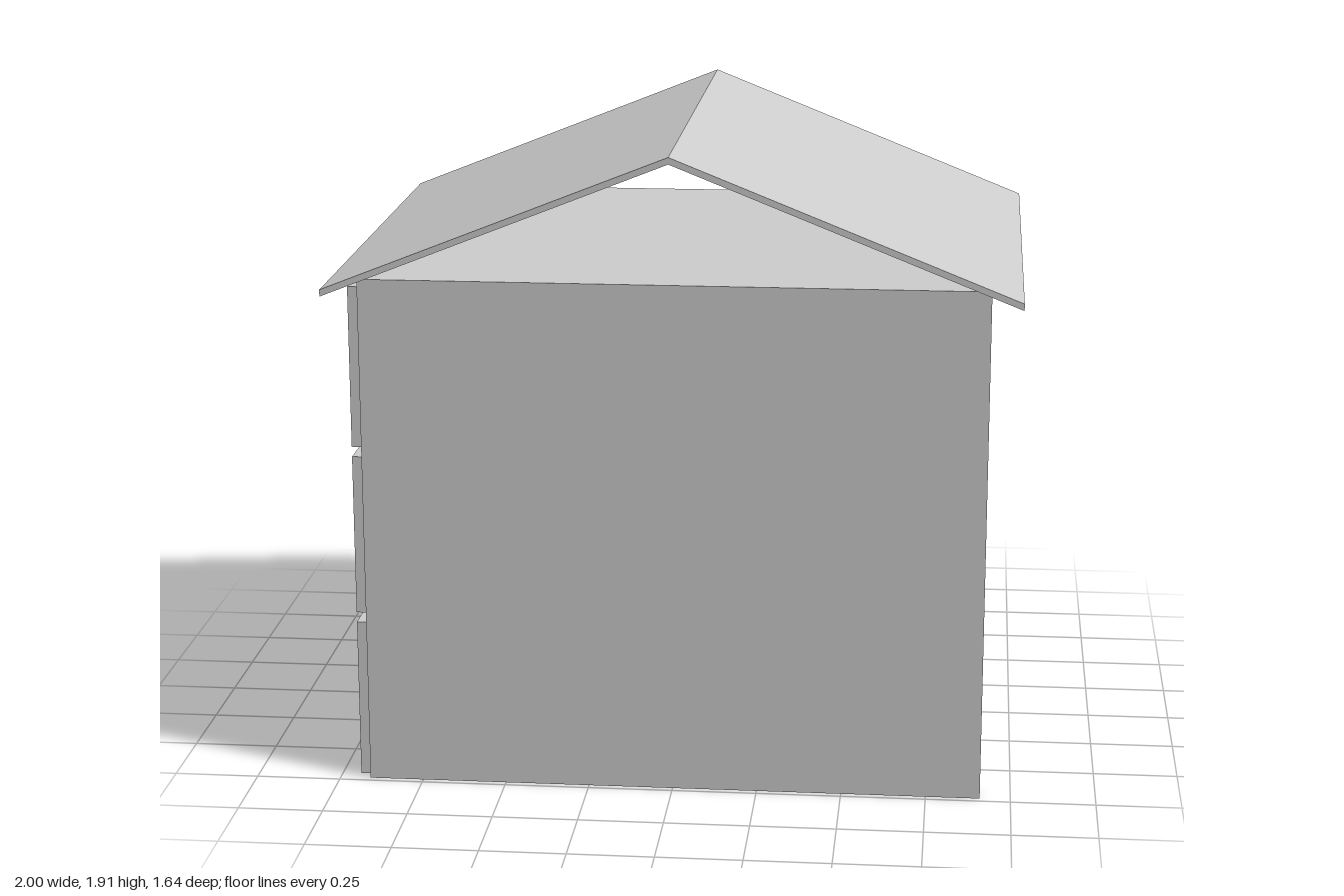
import * as THREE from 'three';

export function createModel() {
  const house = new THREE.Group();
  house.name = 'openHouse';
  const grey = new THREE.MeshStandardMaterial({ color: 0xcccccc });
  grey.name = 'light grey';

  const T = 0.035;        // wall thickness
  const SLAB = 0.03;      // floor thickness
  const STOREY = 0.51;    // storey height, floor included
  const HALF_W = 0.91;    // half width of the main walls
  const IN_Z = 0.695;     // half depth between the main walls
  const WALL_H = 3 * STOREY;

  function box(name, w, h, d, x, y, z) {
    const mesh = new THREE.Mesh(new THREE.BoxGeometry(w, h, d), grey);
    mesh.name = name;
    mesh.position.set(x, y, z);
    house.add(mesh);
  }

  // full-height front and back walls
  box('frontWall', 2 * HALF_W, WALL_H, T, 0, WALL_H / 2, IN_Z + T / 2);
  box('backWall', 2 * HALF_W, WALL_H, T, 0, WALL_H / 2, -IN_Z - T / 2);

  // each storey: two side panels with a floor slab above them
  const panelH = STOREY - SLAB;
  for (let i = 0; i < 3; i++) {
    const y = i * STOREY;
    // recessed on one side, standing proud on the other
    box('leftPanel' + (i + 1), T, panelH, 2 * IN_Z, HALF_W - 1.5 * T, y + panelH / 2, 0);
    box('rightPanel' + (i + 1), T, panelH, 2 * IN_Z, -HALF_W - T / 2, y + panelH / 2, 0);
    box('floorSlab' + (i + 1), 2 * HALF_W, SLAB, 2 * IN_Z, 0, y + panelH + SLAB / 2, 0);
  }

  // thin gabled roof, open at both ends
  const profile = new THREE.Shape([
    [-1, 1.497], [0, 1.895], [1, 1.497], [1, 1.517], [0, 1.915], [-1, 1.517],
  ].map(([x, y]) => new THREE.Vector2(x, y)));
  const roofGeo = new THREE.ExtrudeGeometry(profile, { depth: 1.636, bevelEnabled: false });
  roofGeo.translate(0, 0, -0.818);
  const roof = new THREE.Mesh(roofGeo, grey);
  roof.name = 'roof';
  house.add(roof);

  return house;
}
